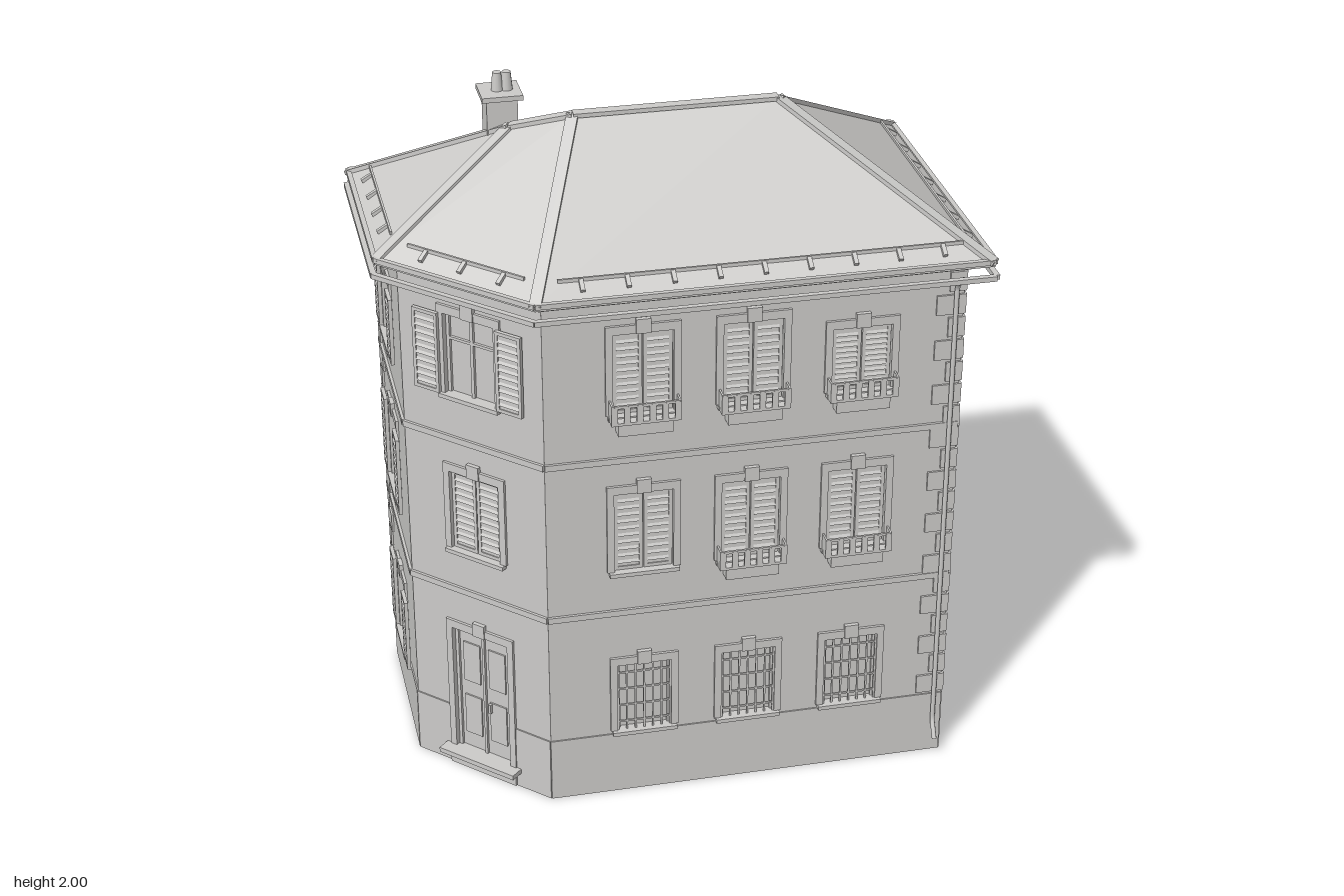
import * as THREE from 'three';

const plaster = new THREE.MeshStandardMaterial({ color: 0xcccbc9, side: THREE.DoubleSide });
plaster.name = 'pale grey plaster';
const T = 0.02; // wall thickness

function add(parent, geo, name, x = 0, y = 0, z = 0) {
  const m = new THREE.Mesh(geo, plaster);
  m.name = name;
  m.position.set(x, y, z);
  parent.add(m);
  return m;
}
const box = (p, name, w, h, d, x, y, z) => add(p, new THREE.BoxGeometry(w, h, d), name, x, y, z);

// Straight bar of rectangular section from a to b
function beam(p, name, a, b, w, h) {
  const m = box(p, name, w, h, a.distanceTo(b), 0, 0, 0);
  m.position.copy(a).lerp(b, 0.5);
  m.lookAt(b);
  return m;
}

// Louvred leaf, standing on the wall plane or in an opening
function louvre(p, x, y0, y1, w, z) {
  const g = new THREE.Group();
  g.name = 'shutter';
  p.add(g);
  const h = y1 - y0, cy = (y0 + y1) / 2;
  box(g, 'shutterPanel', w, h, 0.005, x, cy, z);
  for (const s of [-1, 1]) {
    box(g, 'shutterStile', 0.01, h, 0.011, x + s * (w / 2 - 0.005), cy, z);
    box(g, 'shutterRail', w, 0.01, 0.011, x, cy + s * (h / 2 - 0.005), z);
  }
  const n = 10;
  for (let i = 0; i < n; i++) {
    const slat = box(g, 'shutterSlat', w - 0.02, 0.012, 0.002, x, y0 + 0.015 + (i + 0.5) * (h - 0.03) / n, z + 0.003);
    slat.rotation.x = -0.5;
  }
}

// Small balcony tray with a row of upright planks
function balcony(p, x, y) {
  const g = new THREE.Group();
  g.name = 'balcony';
  p.add(g);
  box(g, 'balconyTray', 0.15, 0.04, 0.035, x, y + 0.02, 0.0175);
  box(g, 'balconyFloor', 0.19, 0.008, 0.045, x, y + 0.042, 0.0225);
  box(g, 'balconyRail', 0.19, 0.008, 0.006, x, y + 0.094, 0.042);
  for (let i = 0; i < 6; i++) box(g, 'balconyPlank', 0.017, 0.05, 0.007, x - 0.0865 + i * 0.0346, y + 0.07, 0.042);
  for (const s of [-1, 1]) box(g, 'balconySide', 0.005, 0.055, 0.042, x + s * 0.0925, y + 0.07, 0.021);
}

// Surround, pane and fittings of one opening; o.kind: closed, open, plain, bars, door
function opening(p, o) {
  const g = new THREE.Group();
  g.name = o.kind === 'door' ? 'door' : 'window';
  p.add(g);
  const { x, y0, y1, w } = o, h = y1 - y0, cy = (y0 + y1) / 2, f = 0.02;
  box(g, 'pane', w, h, 0.004, x, cy, -T + 0.002);
  for (const s of [-1, 1]) {
    box(g, 'surroundSide', f, h, 0.008, x + s * (w + f) / 2, cy, 0.004);
    box(g, 'frameSide', 0.01, h, 0.008, x + s * (w / 2 - 0.005), cy, -0.012);
  }
  box(g, 'lintel', w + 2 * f, 0.025, 0.008, x, y1 + 0.0125, 0.004);
  box(g, 'keystone', 0.04, 0.042, 0.012, x, y1 + 0.021, 0.006);
  if (o.kind === 'door') {
    box(g, 'doorMeetingStile', 0.008, h, 0.008, x, cy, -0.012);
    for (const s of [-1, 1]) for (const k of [0.28, 0.72])
      box(g, 'doorPanel', w * 0.3, h * 0.32, 0.005, x + s * w * 0.23, y0 + h * k, -0.014);
    box(g, 'doorHandle', 0.008, 0.03, 0.012, x + 0.02, y0 + h * 0.4, -0.008);
    return;
  }
  box(g, 'sill', w + 0.03, 0.012, 0.022, x, y0 - 0.006, 0.008);
  if (o.kind === 'bars') {
    for (let i = 0; i < 7; i++) box(g, 'bar', 0.005, h, 0.005, x + (i / 6 - 0.5) * (w - 0.005), cy, 0.001);
    for (let i = 0; i < 4; i++) box(g, 'crossBar', w, 0.005, 0.005, x, y0 + h * (i + 0.5) / 4, 0.001);
  } else if (o.kind === 'closed') {
    for (const s of [-1, 1]) louvre(g, x + s * w / 4, y0, y1, w / 2 - 0.003, -0.009);
  } else {
    box(g, 'mullion', 0.01, h, 0.008, x, cy, -0.012);
    box(g, 'transom', w, 0.008, 0.008, x, y0 + h * 0.68, -0.012);
    if (o.kind === 'open') for (const s of [-1, 1]) louvre(g, x + s * (w * 0.75 + 0.012), y0, y1, w / 2, 0.013);
  }
  if (o.balcony) balcony(g, x, y0 - 0.05);
}

// One facade: local x along the wall, z outward
function facade(root, name, cx, cz, angle, len, openings, quoinEnds) {
  const g = new THREE.Group();
  g.name = name;
  g.position.set(cx, 0, cz);
  g.rotation.y = angle;
  root.add(g);
  const rect = (S, x0, y0, x1, y1) => new S([[x0, y0], [x1, y0], [x1, y1], [x0, y1]].map(q => new THREE.Vector2(...q)));
  const shape = rect(THREE.Shape, -len / 2, 0, len / 2, 1.59);
  for (const o of openings) {
    shape.holes.push(rect(THREE.Path, o.x - o.w / 2, o.y0, o.x + o.w / 2, o.y1));
    opening(g, o);
  }
  const geo = new THREE.ExtrudeGeometry(shape, { depth: T, bevelEnabled: false });
  geo.translate(0, 0, -T);
  add(g, geo, 'wall');
  for (const y of [0.605, 1.09]) {
    // the string course stops at tall openings
    let cuts = openings.filter(o => o.y0 < y && o.y1 + 0.03 > y).map(o => [o.x - o.w / 2 - 0.02, o.x + o.w / 2 + 0.02]);
    cuts = [[0, -len / 2], ...cuts.sort((a, b) => a[0] - b[0]), [len / 2, 0]];
    for (let i = 0; i + 1 < cuts.length; i++) {
      const a = cuts[i][1], b = cuts[i + 1][0];
      box(g, 'stringCourse', b - a, 0.018, 0.008, (a + b) / 2, y, 0.004);
    }
  }
  box(g, 'cornice', len + 0.02, 0.025, 0.016, 0, 1.577, 0.008);
  const low = openings.find(o => o.y0 < 0.2);
  const spans = low ? [[-len / 2, low.x - low.w / 2 - 0.02], [low.x + low.w / 2 + 0.02, len / 2]] : [[-len / 2, len / 2]];
  for (const [a, b] of spans) box(g, 'plinth', b - a, 0.197, 0.004, (a + b) / 2, 0.0985, 0.002);
  // alternating long and short corner stones
  for (const s of quoinEnds) for (let i = 0; i < 20; i++) {
    const w = i % 2 ? 0.045 : 0.08;
    box(g, 'cornerStone', w, 0.058, 0.006, s * (len / 2 - w / 2 + 0.003), 0.235 + i * 0.068, 0.003);
  }
  return g;
}

const win = (x, y0, y1, kind, balcony = false, w = 0.165) => ({ x, y0, y1, kind, balcony, w });

export function createModel() {
  const root = new THREE.Group();
  root.name = 'cornerHouse';
  const V = (x, y, z) => new THREE.Vector3(x, y, z);

  // Facades
  const front = [-0.14, 0.16, 0.46].flatMap((wx, i) => [
    win(wx - 0.165, 0.21, 0.43, 'bars', false, 0.155),
    win(wx - 0.165, 0.74, 0.985, 'closed', i > 0),
    win(wx - 0.165, 1.23, i === 2 ? 1.42 : 1.47, 'closed', true)]);
  facade(root, 'frontFacade', 0.165, 0.42, 0, 1.15, front, [1]);
  const side = [-0.14, 0.14].flatMap((x, i) => [
    win(x, 0.21, 0.43, 'bars', false, 0.155),
    win(x, 0.74, 0.985, 'closed', i === 0),
    win(x, 1.23, 1.47, 'closed', i === 1)]);
  facade(root, 'leftFacade', 0.74, 0, Math.PI / 2, 0.84, side, [-1, 1]);
  const back = facade(root, 'backFacade', 0, -0.42, Math.PI, 1.48, [
    win(-0.33, 0.275, 0.61, 'door', false, 0.15),
    win(0, 0.41, 0.63, 'bars', false, 0.155), win(0.41, 0.39, 0.6, 'open', false, 0.15),
    win(-0.41, 0.75, 0.99, 'open'), win(0, 0.75, 0.99, 'open'), win(0.41, 0.75, 0.99, 'open', true),
    win(-0.41, 1.23, 1.47, 'plain'), win(0, 1.23, 1.47, 'open', true), win(0.41, 1.23, 1.47, 'open', true)], [-1, 1]);
  box(back, 'backDoorSlab', 0.24, 0.015, 0.045, -0.33, 0.267, 0.0225);
  box(back, 'backDoorBase', 0.19, 0.26, 0.012, -0.33, 0.13, 0.006);
  facade(root, 'rightFacade', -0.74, -0.165, -Math.PI / 2, 0.51, [
    win(0, 0.21, 0.44, 'open', false, 0.15), win(0, 0.74, 0.98, 'open', false, 0.15),
    win(0, 1.22, 1.42, 'open', false, 0.15)], [-1]);
  const corner = facade(root, 'cornerFacade', -0.575, 0.255, -Math.PI / 4, 0.467, [
    win(0, 0.06, 0.47, 'door', false, 0.19), win(0, 0.74, 0.985, 'closed'),
    win(0, 1.23, 1.47, 'open')], []);
  box(corner, 'doorStep', 0.26, 0.015, 0.05, 0, 0.055, 0.02);
  box(corner, 'doorStepBase', 0.23, 0.05, 0.012, 0, 0.025, 0.004);

  // Hipped roof with soffit and fascia
  const E = 1.6, top = 1.92;
  const eave = [[-0.435, 0.48], [0.8, 0.48], [0.8, -0.48], [-0.8, -0.48], [-0.8, 0.115]];
  const [A, B, C, D, F] = eave.map(([x, z]) => V(x, E, z));
  const P = V(0.325, top, 0), Q = V(-0.24, top, 0), R = V(-0.4, 1.873, -0.07);
  const faces = [[A, B, P, Q], [B, C, P], [C, D, R, Q, P], [D, F, R], [F, A, Q, R]];
  const ring = [A, B, C, D, F], low = ring.map(v => V(v.x, E - 0.012, v.z));
  ring.forEach((v, i) => faces.push([low[i], low[(i + 1) % 5], ring[(i + 1) % 5], v]));
  faces.push([...low].reverse());
  const pos = [];
  for (const f of faces) for (let i = 1; i + 1 < f.length; i++) for (const v of [f[0], f[i], f[i + 1]]) pos.push(v.x, v.y, v.z);
  const roofGeo = new THREE.BufferGeometry();
  roofGeo.setAttribute('position', new THREE.Float32BufferAttribute(pos, 3));
  roofGeo.computeVertexNormals();
  add(root, roofGeo, 'roof');
  for (const [a, b] of [[B, P], [C, P], [P, Q], [Q, A], [Q, R], [R, D], [R, F]]) beam(root, 'ridgeCap', a, b, 0.032, 0.012);

  // Gutters and snow guards along every eave
  ring.forEach((a, i) => {
    const b = ring[(i + 1) % 5], d = b.clone().sub(a).normalize(), n = V(-d.z, 0, d.x), len = a.distanceTo(b);
    const at = (t, off, y) => a.clone().addScaledVector(d, t).addScaledVector(n, off).setY(y);
    beam(root, 'gutter', at(-0.004, 0.006, 1.558), at(len + 0.004, 0.006, 1.558), 0.016, 0.014);
    beam(root, 'eaveBoard', at(0, 0, 1.603), at(len, 0, 1.603), 0.014, 0.014);
    beam(root, 'snowRail', at(0.07, -0.055, 1.642), at(len - 0.07, -0.055, 1.642), 0.006, 0.01);
    const count = Math.round((len - 0.14) / 0.122);
    for (let k = 0; k < count; k++) {
      const t = 0.07 + (k + 0.5) * (len - 0.14) / count;
      beam(root, 'snowBracket', at(t, -0.056, 1.638), at(t, -0.026, 1.62), 0.012, 0.016);
    }
  });

  // Chimney with two pots
  box(root, 'chimneyShaft', 0.085, 0.24, 0.085, -0.413, 1.82, -0.143);
  box(root, 'chimneyCap', 0.112, 0.014, 0.112, -0.413, 1.942, -0.143);
  for (const s of [-1, 1]) add(root, new THREE.CylinderGeometry(0.012, 0.017, 0.052, 12), 'chimneyPot', -0.406 + s * 0.013, 1.974, -0.143);

  // Downpipes
  for (const pts of [
    [V(0.715, 1.56, 0.48), V(0.715, 1.52, 0.432), V(0.715, 0.11, 0.432), V(0.715, 0.06, 0.46)],
    [V(-0.715, 1.56, -0.48), V(-0.715, 1.52, -0.432), V(-0.715, 0.33, -0.432), V(-0.715, 0.28, -0.455)]]) {
    const path = new THREE.CurvePath();
    for (let i = 0; i < 3; i++) path.add(new THREE.LineCurve3(pts[i], pts[i + 1]));
    add(root, new THREE.TubeGeometry(path, 60, 0.007, 8), 'downpipe');
  }
  return root;
}
